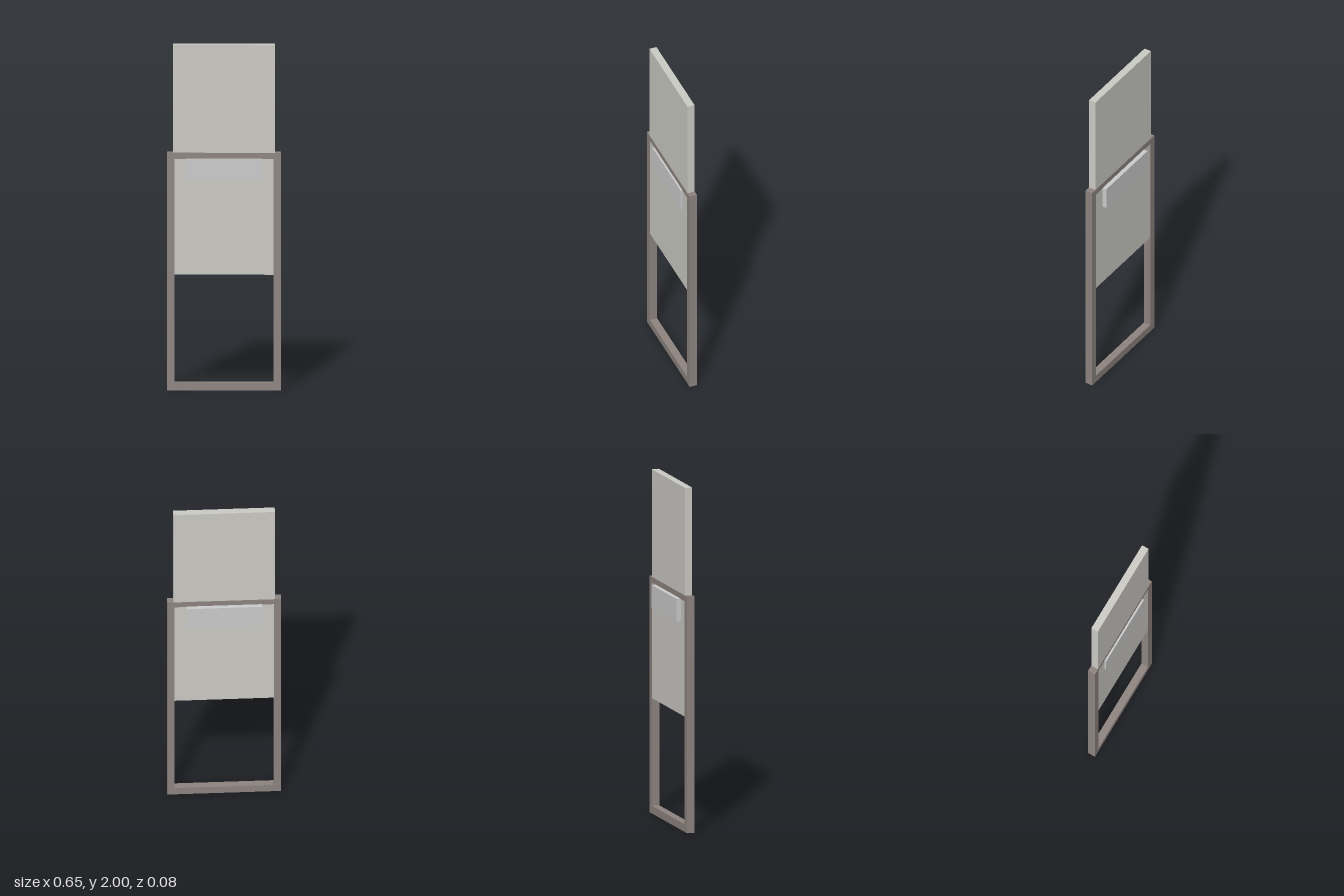
import * as THREE from 'three';

const material = (color) => new THREE.MeshStandardMaterial({ color });

// Box given by its extents along each axis
function block(name, [x0, x1], [y0, y1], [z0, z1], mat) {
  const mesh = new THREE.Mesh(new THREE.BoxGeometry(x1 - x0, y1 - y0, z1 - z0), mat);
  mesh.position.set((x0 + x1) / 2, (y0 + y1) / 2, (z0 + z1) / 2);
  mesh.name = name;
  return mesh;
}

function rectangle(path, x, y0, y1) {
  path.moveTo(-x, y0);
  path.lineTo(x, y0);
  path.lineTo(x, y1);
  path.lineTo(-x, y1);
  path.closePath();
  return path;
}

export function createModel() {
  const model = new THREE.Group();
  model.name = 'slidingWindow';
  const back = -0.015, front = 0.028;

  // Surrounding frame, a hair proud of the panel so its faces stay clean
  const proud = 0.0007;
  const outline = rectangle(new THREE.Shape(), 0.325, 0, 1.375);
  outline.holes.push(rectangle(new THREE.Path(), 0.283, 0.045, 1.34));
  const frame = new THREE.Mesh(
    new THREE.ExtrudeGeometry(outline, { depth: front - back + 2 * proud, bevelEnabled: false }),
    material(0x8e847f)
  );
  frame.position.z = back - proud;
  frame.name = 'frame';
  model.add(frame);

  // Raised panel sliding through the top of the frame
  model.add(block('slidingPanel', [-0.29, 0.29], [0.67, 2], [back, front], material(0xcccbc5)));

  // Handle block passing through the panel, showing on both faces
  model.add(block('handle', [-0.216, 0.216], [1.21, 1.343], [-0.041, 0.04], material(0xd9d8d7)));

  return model;
}
